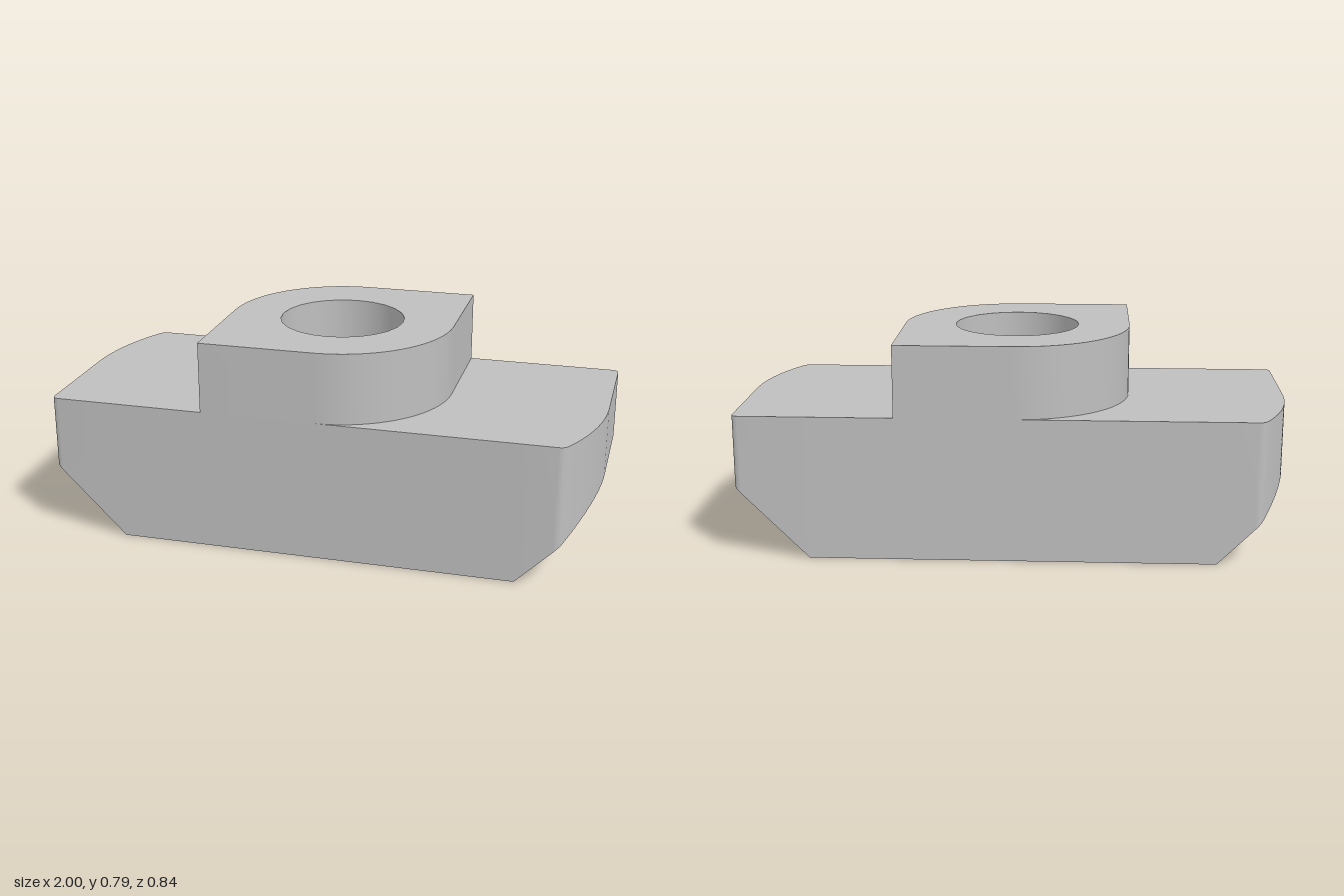
import * as THREE from 'three';
import { toCreasedNormals } from 'three/addons/utils/BufferGeometryUtils.js';

const D = 0.42;      // half depth, also the radius of the raised head
const FLOOR = 0.735; // half length of the flat underside
const SHOULDER = 0.528, TOP = 0.79, BORE = 0.23, SEG = 12;
const underside = (x) => Math.max(0, Math.abs(x) - FLOOR);

// Vertical band along plan points (x, z), facing right of the travel direction
function wall(points, bottom, top) {
  const pos = [];
  for (let i = 0; i < points.length - 1; i++) {
    const a = points[i], b = points[i + 1];
    const a0 = [a.x, bottom(a.x), a.y], a1 = [a.x, top, a.y];
    const b0 = [b.x, bottom(b.x), b.y], b1 = [b.x, top, b.y];
    pos.push(...a0, ...a1, ...b1, ...a0, ...b1, ...b0);
  }
  const g = new THREE.BufferGeometry();
  g.setAttribute('position', new THREE.Float32BufferAttribute(pos, 3));
  return toCreasedNormals(g, 0.5);
}

// Face filling a plan shape, at a height given by x
function cap(shape, height, up) {
  const g = new THREE.ShapeGeometry(shape, SEG).rotateX(Math.PI / 2).toNonIndexed();
  const p = g.attributes.position;
  for (let i = 0; i < p.count; i++) p.setY(i, height(p.getX(i)));
  if (up) {
    for (let i = 0; i < p.count; i += 3) {
      const x = p.getX(i), y = p.getY(i), z = p.getZ(i);
      p.setXYZ(i, p.getX(i + 1), p.getY(i + 1), p.getZ(i + 1));
      p.setXYZ(i + 1, x, y, z);
    }
  }
  g.computeVertexNormals();
  return g;
}

// Plan of one end: small rounded corner, straight edge, then a swept arc
function endOutline(path, startX) {
  const R = 0.84, r = 0.025, angle = Math.asin(0.4 / R);
  path.moveTo(startX, -D);
  path.lineTo(1 - r, -D);
  path.quadraticCurveTo(1, -D, 1, -D + r);
  path.lineTo(1, 0);
  path.absarc(1 - R, 0, R, 0, angle, false);
  path.quadraticCurveTo(0.8875, D, 0.865, D);
  path.lineTo(FLOOR, D);
  return path;
}

export function createModel() {
  const model = new THREE.Group();
  const steel = new THREE.MeshStandardMaterial({ color: 0xbfbfbf });
  steel.name = 'steel grey';
  const add = (name, geometry, turn = 0) => {
    const mesh = new THREE.Mesh(geometry, steel);
    mesh.name = name;
    mesh.rotation.y = turn;
    model.add(mesh);
  };
  const circle = () => new THREE.Path().absarc(0, 0, BORE, 0, Math.PI * 2, true);

  // Raised head with two opposite rounded corners
  const head = new THREE.Shape();
  head.moveTo(D, -D);
  head.lineTo(D, 0);
  head.absarc(0, 0, D, 0, Math.PI / 2, false);
  head.lineTo(-D, D);
  head.lineTo(-D, 0);
  head.absarc(0, 0, D, Math.PI, Math.PI * 1.5, false);
  head.lineTo(D, -D);
  add('headSides', wall(head.getPoints(SEG), () => SHOULDER, TOP));
  head.holes.push(circle());
  add('headTop', cap(head, () => TOP, true));

  // Flat underside and through bore
  const floor = new THREE.Shape([[-1, -1], [1, -1], [1, 1], [-1, 1]]
    .map(([x, z]) => new THREE.Vector2(x * FLOOR, z * D)));
  floor.holes.push(circle());
  add('floor', cap(floor, () => 0, false));
  add('bore', wall(circle().getPoints(48), () => 0, TOP));

  // Two identical halves, turned half a revolution apart
  ['right', 'left'].forEach((side, i) => {
    const turn = (1 - i) * Math.PI;

    const outline = endOutline(new THREE.Path(), FLOOR);
    outline.lineTo(-FLOOR, D);
    add(side + 'BaseSides', wall(outline.getPoints(SEG), underside, SHOULDER), turn);

    const shoulder = endOutline(new THREE.Shape(), D);
    shoulder.lineTo(0, D);
    shoulder.absarc(0, 0, D, Math.PI / 2, 0, true);
    add(side + 'Shoulder', cap(shoulder, () => SHOULDER, true), turn);

    add(side + 'EndChamfer', cap(endOutline(new THREE.Shape(), FLOOR), underside, false), turn);
  });
  return model;
}
